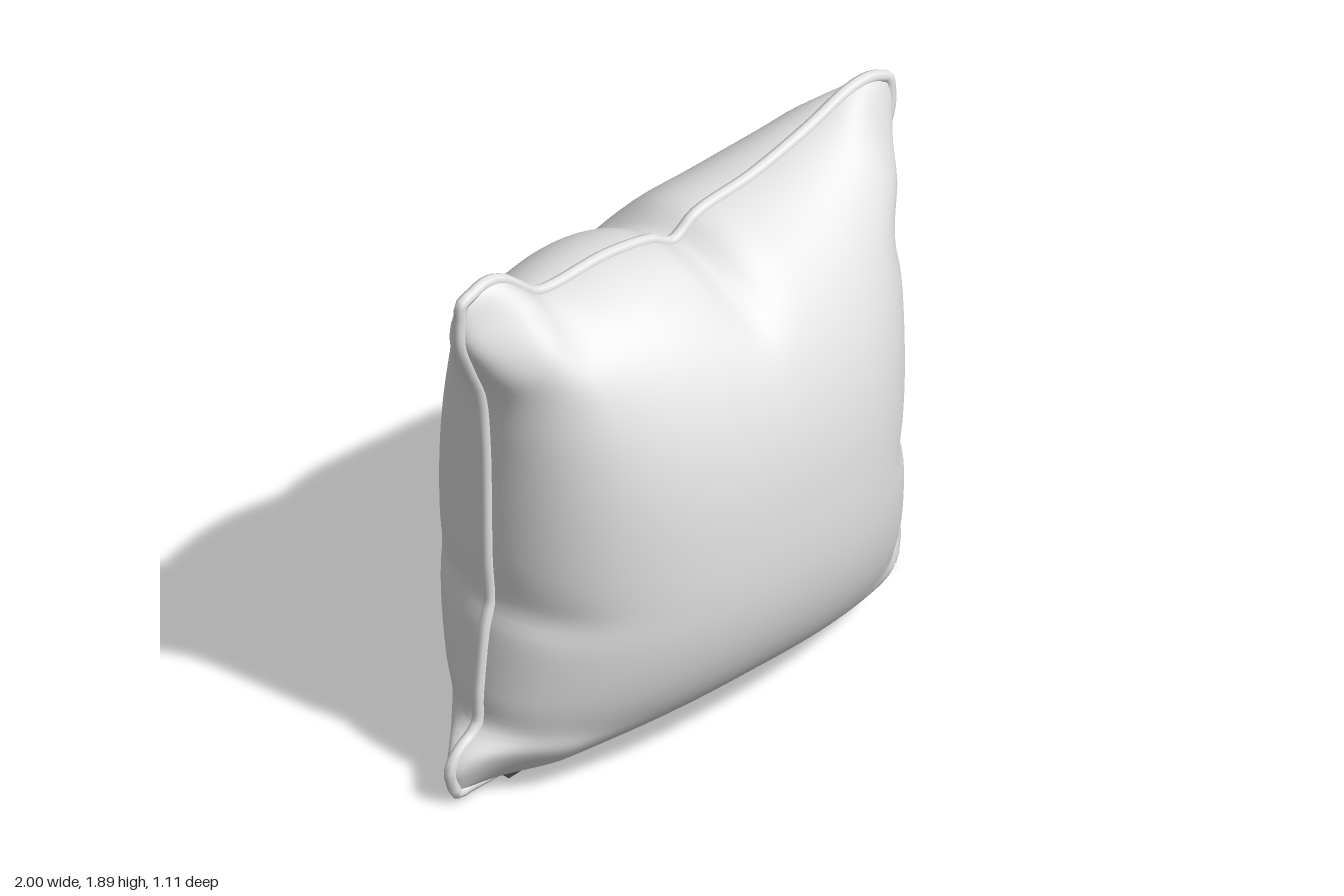
import * as THREE from 'three';
import { mergeVertices } from 'three/addons/utils/BufferGeometryUtils.js';

const MID = 0.87, HALF_W = 0.84, HALF_H = 0.83, INSET = 0.978;

// Outline edge, pulled in to leave room for the piping
const curve = (pts) => new THREE.CatmullRomCurve3(
  pts.map(([x, y]) => new THREE.Vector3(x * INSET, 0.93 + (y - 0.93) * INSET, 0)), false, 'centripetal');

// Seam outline: four edges, left to right and bottom to top
const bottom = curve([[-0.97, 0.015], [-0.75, 0.02], [-0.5, 0.045], [-0.02, 0.07], [0.4, 0.05], [0.7, 0.02], [0.8, 0.008], [0.985, 0.003]]);
const top = curve([[-0.95, 1.86], [-0.85, 1.895], [-0.78, 1.88], [-0.7, 1.82], [-0.61, 1.755], [-0.3, 1.75], [-0.1, 1.715],
  [0, 1.665], [0.1, 1.72], [0.35, 1.75], [0.6, 1.81], [0.8, 1.875], [0.9, 1.875], [0.97, 1.84]]);
const left = curve([[-0.97, 0.015], [-1, 0.1], [-0.97, 0.16], [-0.88, 0.23], [-0.87, 0.35], [-0.84, 0.6], [-0.82, 0.67],
  [-0.83, 0.85], [-0.84, 1.3], [-0.86, 1.48], [-0.91, 1.6], [-0.955, 1.72], [-0.95, 1.86]]);
const right = curve([[0.985, 0.003], [1, 0.1], [0.97, 0.18], [0.89, 0.23], [0.87, 0.4], [0.84, 0.6], [0.81, 0.8],
  [0.83, 1], [0.86, 1.3], [0.88, 1.48], [0.93, 1.6], [0.98, 1.75], [0.97, 1.84]]);
const corners = [bottom.getPoint(0), bottom.getPoint(1), top.getPoint(0), top.getPoint(1)];

// Point of an edge where coordinate k reaches a value
function find(c, k, value) {
  let lo = 0, hi = 1;
  for (let n = 0; n < 30; n++) {
    const m = (lo + hi) / 2;
    if (c.getPoint(m)[k] < value) lo = m; else hi = m;
  }
  return c.getPoint((lo + hi) / 2);
}

// Even spacing inside, bending to the given edge only near the rim
const spread = (u, half, lo, hi) => half * u + Math.abs(u) ** 3 * (u < 0 ? lo + half : hi - half);

// Pulled creases in the cloth: x, y, width, height, depth
const dents = [
  [0, 1.64, 0.12, 0.12, 0.13], [0.8, 0.78, 0.14, 0.06, 0.14], [-0.82, 0.67, 0.1, 0.06, 0.12],
  [0.84, 1.42, 0.1, 0.08, 0.15], [-0.62, 1.72, 0.08, 0.09, 0.15],
];

const fullness = (u) => Math.max(0, 1 - Math.abs(u) ** 2.4) ** 0.47;

function puff(u, v, x, y) {
  let z = 0.557 * fullness(u) * fullness(v);
  for (const c of corners) {
    z *= 0.5 + 0.5 * THREE.MathUtils.smoothstep(Math.hypot(x - c.x, y - c.y), 0.04, 0.3);
  }
  for (const [dx, dy, w, h, d] of dents) {
    z *= 1 - d * Math.exp(-(((x - dx) / w) ** 2) - ((y - dy) / h) ** 2);
  }
  return z;
}

// Two padded halves stretched between the four edges and joined at the seam
function cushionGeometry(n) {
  const at = Array.from({ length: n + 1 }, (_, i) => -Math.cos((Math.PI * i) / n));
  const [bl, br, tl, tr] = corners;
  const B = at.map((u) => find(bottom, 'x', spread(u, HALF_W, bl.x, br.x)).y - MID);
  const T = at.map((u) => find(top, 'x', spread(u, HALF_W, tl.x, tr.x)).y - MID);
  const L = at.map((v) => find(left, 'y', MID + spread(v, HALF_H, bl.y - MID, tl.y - MID)).x);
  const R = at.map((v) => find(right, 'y', MID + spread(v, HALF_H, br.y - MID, tr.y - MID)).x);
  const position = [], index = [];
  for (const side of [1, -1]) {
    const base = position.length / 3;
    for (let j = 0; j <= n; j++) {
      for (let i = 0; i <= n; i++) {
        const x = spread(at[i], HALF_W, L[j], R[j]);
        const y = MID + spread(at[j], HALF_H, B[i], T[i]);
        const rim = i === 0 || j === 0 || i === n || j === n;
        position.push(x, y, rim ? 0 : side * puff(at[i], at[j], x, y));
        if (i < n && j < n) {
          const a = base + j * (n + 1) + i, b = a + 1, c = b + n + 1, d = a + n + 1;
          index.push(...(side > 0 ? [a, b, c, a, c, d] : [a, c, b, a, d, c]));
        }
      }
    }
  }
  const g = new THREE.BufferGeometry();
  g.setAttribute('position', new THREE.Float32BufferAttribute(position, 3));
  g.setIndex(index);
  const merged = mergeVertices(g, 1e-5);
  merged.computeVertexNormals();
  return merged;
}

// Rounded seam rib following the whole outline
function pipingGeometry() {
  const pts = [];
  const add = (c, reversed) => {
    for (let i = 0; i < 40; i++) pts.push(c.getPointAt(reversed ? 1 - i / 40 : i / 40));
  };
  add(bottom, false);
  add(right, false);
  add(top, true);
  add(left, true);
  return new THREE.TubeGeometry(new THREE.CatmullRomCurve3(pts, true), 320, 0.021, 8, true);
}

// Thin ribbon along the underside
function zipperGeometry() {
  const g = new THREE.PlaneGeometry(1, 0.075, 50, 1);
  g.rotateX(Math.PI / 2);
  const pos = g.attributes.position;
  for (let i = 0; i < pos.count; i++) {
    const p = bottom.getPointAt(0.1 + 0.78 * (pos.getX(i) + 0.5));
    pos.setXY(i, p.x, p.y - 0.023);
  }
  g.computeVertexNormals();
  return g;
}

export function createModel() {
  const cloth = new THREE.MeshStandardMaterial({ color: 0xe6e6e6 });
  cloth.name = 'off-white cloth';
  const dark = new THREE.MeshStandardMaterial({ color: 0x3a3a3a, side: THREE.DoubleSide });
  dark.name = 'dark zipper';

  const group = new THREE.Group();
  group.name = 'cushion';
  const add = (name, geometry, material) => {
    const mesh = new THREE.Mesh(geometry, material);
    mesh.name = name;
    group.add(mesh);
  };
  add('cushionBody', cushionGeometry(80), cloth);
  add('seamPiping', pipingGeometry(), cloth);
  add('zipper', zipperGeometry(), dark);
  return group;
}
